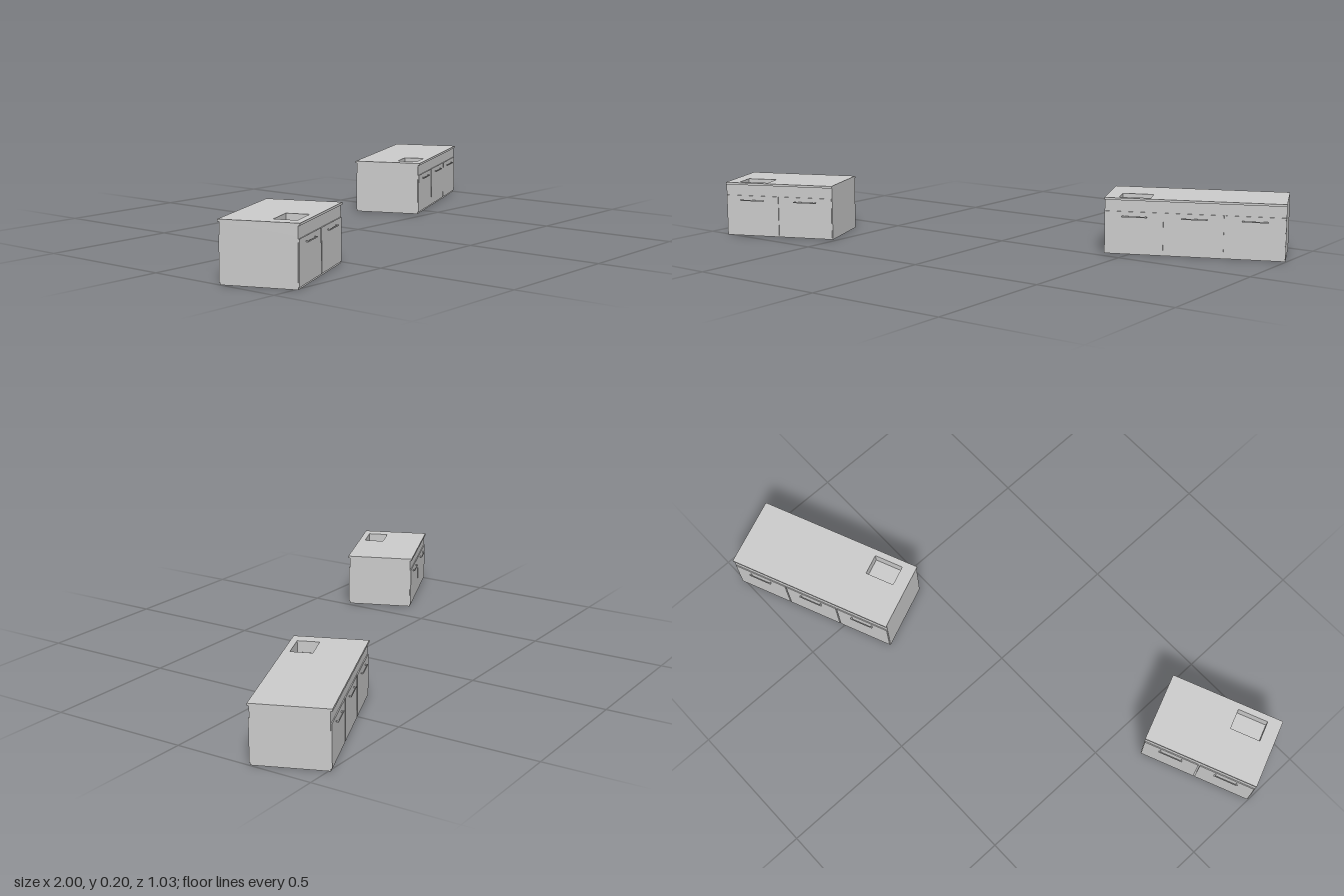
import * as THREE from 'three';

const DOOR_W = 0.209;    // width of one cupboard bay
const BODY_D = 0.248;    // carcass depth
const TOP_D = 0.26;      // worktop depth, overhanging front and back
const HEIGHT = 0.2;
const SLAB_T = 0.008;
const BASIN_Y = 0.16;    // level of the sink floor

const material = new THREE.MeshStandardMaterial({ color: 0xcccccc });

function add(parent, name, geometry, x = 0, y = 0, z = 0) {
  const mesh = new THREE.Mesh(geometry, material);
  mesh.name = name;
  mesh.position.set(x, y, z);
  parent.add(mesh);
  return mesh;
}

// Horizontal plate with a rectangular sink opening, its underside at y = 0
function plateWithOpening(w, d, h, sinkX, sinkZ) {
  const rect = (path, cx, cy, hw, hh) => {
    path.moveTo(cx - hw, cy - hh);
    path.lineTo(cx + hw, cy - hh);
    path.lineTo(cx + hw, cy + hh);
    path.lineTo(cx - hw, cy + hh);
    path.closePath();
    return path;
  };
  const shape = rect(new THREE.Shape(), 0, 0, w / 2, d / 2);
  shape.holes.push(rect(new THREE.Path(), sinkX, -sinkZ, 0.055, 0.0385));
  return new THREE.ExtrudeGeometry(shape, { depth: h, bevelEnabled: false }).rotateX(-Math.PI / 2);
}

// Door panel with a bar handle on two posts, facing +z
function createDoor() {
  const door = new THREE.Group();
  door.name = 'door';
  add(door, 'doorPanel', new THREE.BoxGeometry(DOOR_W - 0.005, 0.145, 0.006), 0, 0.0795, 0.0005);
  add(door, 'handleBar', new THREE.BoxGeometry(0.09, 0.004, 0.003), 0, 0.135, 0.0105);
  for (const s of [-1, 1]) {
    add(door, 'handlePost', new THREE.BoxGeometry(0.004, 0.004, 0.007), s * 0.04, 0.135, 0.006);
  }
  return door;
}

function createCounter(name, bays) {
  const counter = new THREE.Group();
  counter.name = name;
  const w = bays * DOOR_W;
  const sinkX = -w / 2 + DOOR_W / 2;
  const sinkZ = 0.068;

  // Carcass, fascia around the basin, and worktop
  add(counter, 'carcass', new THREE.BoxGeometry(w, BASIN_Y, BODY_D), 0, BASIN_Y / 2);
  add(counter, 'fascia', plateWithOpening(w, BODY_D, HEIGHT - SLAB_T - BASIN_Y, sinkX, sinkZ), 0, BASIN_Y);
  add(counter, 'worktop', plateWithOpening(w, TOP_D, SLAB_T, sinkX, sinkZ), 0, HEIGHT - SLAB_T);

  // Doors along both long sides
  for (const side of [0, 1]) {
    const row = new THREE.Group();
    row.name = side ? 'backDoors' : 'frontDoors';
    row.rotation.y = side * Math.PI;
    for (let i = 0; i < bays; i++) {
      const door = createDoor();
      door.position.set((i - (bays - 1) / 2) * DOOR_W, 0, BODY_D / 2);
      row.add(door);
    }
    counter.add(row);
  }
  return counter;
}

export function createModel() {
  const model = new THREE.Group();
  model.name = 'kitchenCounters';
  const angle = THREE.MathUtils.degToRad(22.4);

  const small = createCounter('twoDoorCounter', 2);
  small.position.set(-0.758, 0, 0.3145);
  const large = createCounter('threeDoorCounter', 3);
  large.position.set(0.66, 0, -0.2725);

  for (const counter of [small, large]) {
    counter.rotation.y = angle;
    model.add(counter);
  }
  return model;
}
